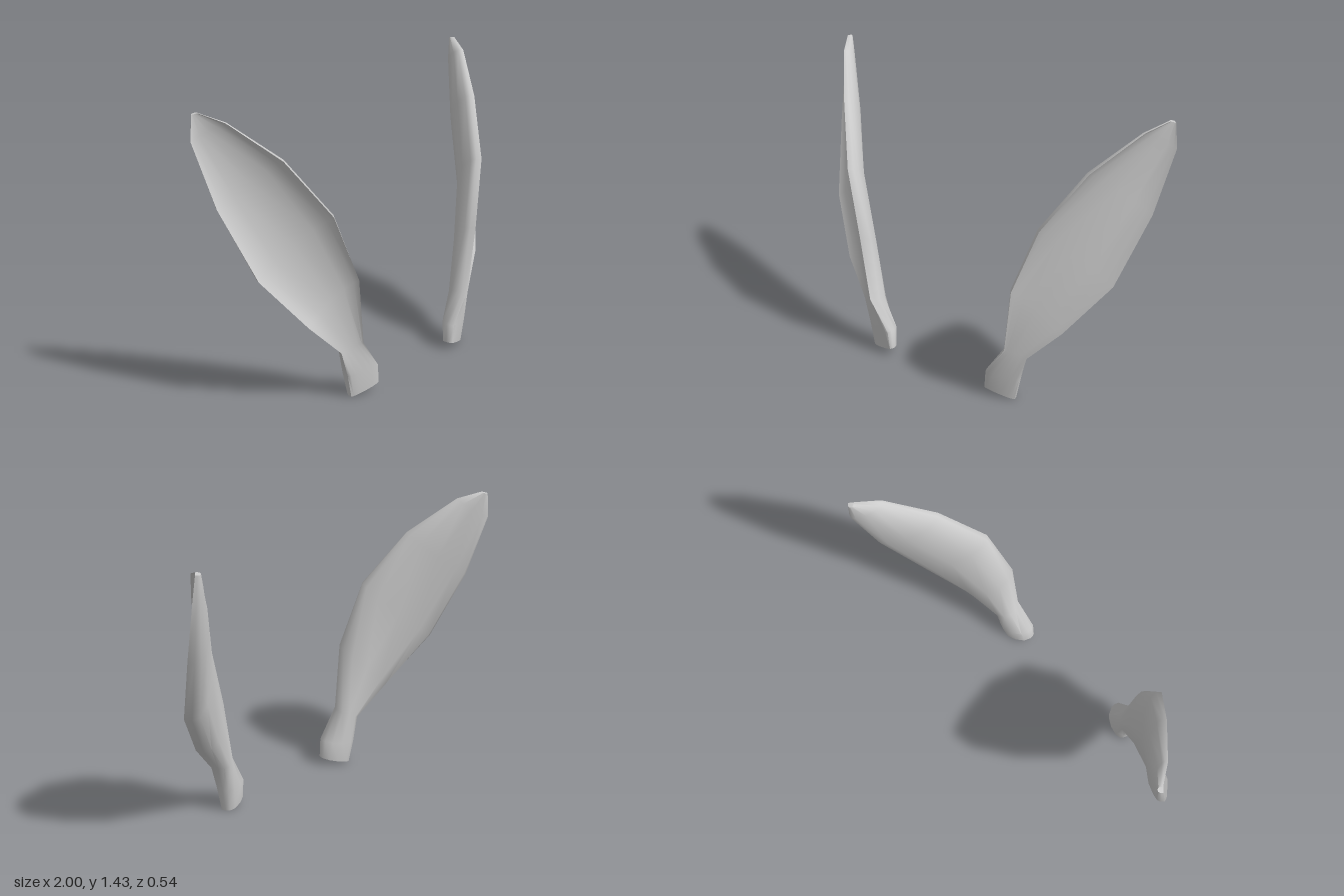
import * as THREE from 'three';
import { toCreasedNormals } from 'three/addons/utils/BufferGeometryUtils.js';

// Sections from stem to tip: inner rim, outer rim, cup depth (negative bulges), back depth
const SECTIONS = [
  [[0.30, 0.045, 0.255], [0.445, 0.005, 0.205], -0.01, 0.065],
  [[0.31, 0.14, 0.26], [0.47, 0.12, 0.205], -0.015, 0.085],
  [[0.42, 0.29, 0.26], [0.51, 0.25, 0.2], 0.008, 0.095],
  [[0.465, 0.62, 0.272], [0.665, 0.41, 0.135], 0.05, 0.11],
  [[0.58, 0.945, 0.22], [0.85, 0.66, 0.0], 0.065, 0.108],
  [[0.735, 1.215, 0.06], [0.95, 1.0, -0.15], 0.055, 0.09],
  [[0.9, 1.395, -0.13], [1.0, 1.31, -0.25], 0.022, 0.052],
  [[0.965, 1.437, -0.235], [0.985, 1.43, -0.255], 0.003, 0.025],
];

// Ring around a section: position across the ear, share of cup depth, share of back depth
const RING = [
  [0, 0, 0], [0.08, 0.45, 0], [0.25, 0.85, 0], [0.5, 1, 0], [0.75, 0.85, 0], [0.92, 0.45, 0], [1, 0, 0],
  [1.01, 0, 0.35], [0.97, 0, 0.68], [0.82, 0, 0.93], [0.5, 0, 1], [0.2, 0, 0.85], [0.04, 0, 0.5], [-0.01, 0, 0.25],
];

function earGeometry(side) {
  const pos = [], idx = [], n = RING.length;
  for (const [a, e, cup, back] of SECTIONS) {
    const A = new THREE.Vector3(...a), E = new THREE.Vector3(...e);
    const rear = new THREE.Vector3(E.z - A.z, 0, A.x - E.x).normalize();
    for (const [u, c, b] of RING) {
      const p = A.clone().lerp(E, u).addScaledVector(rear, c * cup + b * back);
      pos.push(p.x * side, p.y, p.z);
    }
  }
  const tri = (a, b, c) => (side > 0 ? idx.push(a, b, c) : idx.push(a, c, b));
  for (let i = 0; i < SECTIONS.length - 1; i++) {
    for (let j = 0; j < n; j++) {
      const a = i * n + j, b = i * n + (j + 1) % n;
      tri(a, b, b + n);
      tri(a, b + n, a + n);
    }
  }
  // close the tip, leave the stem open below
  const top = (SECTIONS.length - 1) * n;
  for (let j = 1; j < n - 1; j++) tri(top, top + j, top + j + 1);

  const g = new THREE.BufferGeometry();
  g.setAttribute('position', new THREE.Float32BufferAttribute(pos, 3));
  g.setIndex(idx);
  return toCreasedNormals(g, 1.1);
}

export function createModel() {
  const group = new THREE.Group();
  group.name = 'earPair';
  const grey = new THREE.MeshStandardMaterial({ color: 0xcccccc, side: THREE.DoubleSide });
  grey.name = 'light grey';
  for (const [name, side] of [['leftEar', 1], ['rightEar', -1]]) {
    const ear = new THREE.Mesh(earGeometry(side), grey);
    ear.name = name;
    group.add(ear);
  }
  return group;
}
